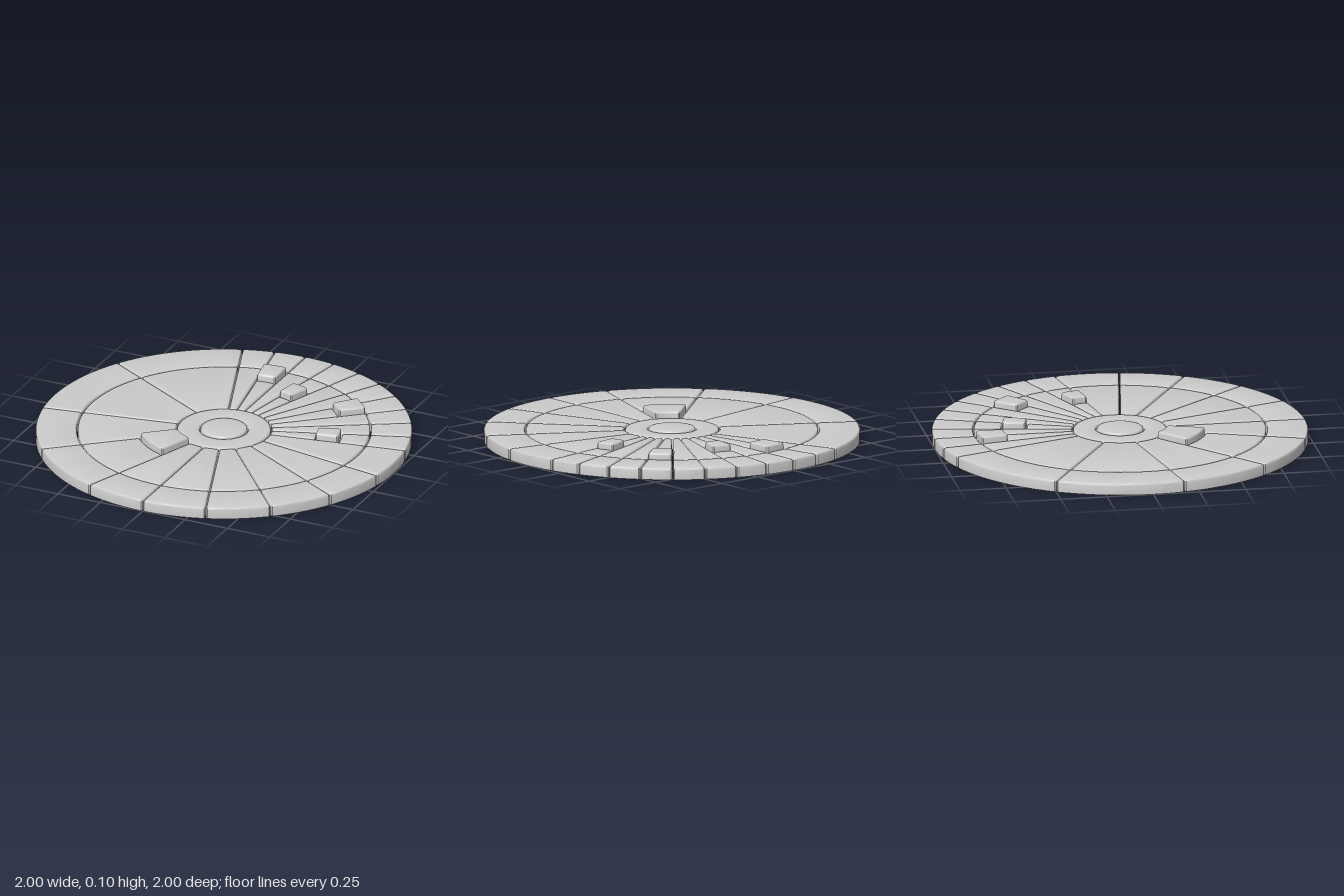
import * as THREE from 'three';
import { toCreasedNormals } from 'three/addons/utils/BufferGeometryUtils.js';

const H = 0.064, RAISED = 0.096, BEVEL = 0.012, GAP = 0.003, CORNER = 0.006;
const R_CAP = 0.127, R_HUB = 0.252, R_SEAM = 0.78, R_RIM = 1;
const material = new THREE.MeshStandardMaterial({ color: 0xcccccc, side: THREE.DoubleSide });

// Rounded top edge: [inset, height] pairs from the floor up
const edgeProfile = (h) => [
  [0, 0], [0, h - BEVEL], [BEVEL * 0.13, h - BEVEL * 0.5],
  [BEVEL * 0.5, h - BEVEL * 0.13], [BEVEL, h],
];

// One end of a sector outline: an arc with both corners clipped
function arcRow(r, edgeR, a0, a1, d, n) {
  const row = [[edgeR, a0 + Math.asin(d / edgeR)]];
  const off = Math.asin((d + CORNER) / r);
  for (let i = 0; i <= n; i++) row.push([r, a0 + off + (a1 - a0 - 2 * off) * i / n]);
  row.push([edgeR, a1 - Math.asin(d / edgeR)]);
  return row;
}

// Hollow ring-sector tile, open underneath, with parallel gaps to its neighbours
function sectorGeometry(r0, r1, deg0, deg1, h) {
  const a0 = THREE.MathUtils.degToRad(deg0), a1 = THREE.MathUtils.degToRad(deg1);
  const n = Math.ceil((deg1 - deg0) / 2.5), half = n + 3, count = half * 2;
  const pos = [], idx = [];
  const profile = edgeProfile(h);
  for (const [inset, y] of profile) {
    const d = GAP + inset;
    const outer = arcRow(r1 - d, r1 - d - CORNER, a0, a1, d, n);
    const inner = arcRow(r0 + d, r0 + d + CORNER, a0, a1, d, n).reverse();
    for (const [r, a] of [...outer, ...inner]) pos.push(r * Math.cos(a), y, -r * Math.sin(a));
  }
  // walls and bevel
  for (let k = 0; k < profile.length - 1; k++) {
    for (let i = 0; i < count; i++) {
      const j = (i + 1) % count, b = k * count, t = b + count;
      idx.push(b + i, b + j, t + j, b + i, t + j, t + i);
    }
  }
  // top face, bridging outer and inner arcs
  const top = (profile.length - 1) * count;
  for (let i = 0; i < half - 1; i++) {
    const o0 = top + i, o1 = o0 + 1, i0 = top + count - 1 - i, i1 = i0 - 1;
    idx.push(o0, o1, i1, o0, i1, i0);
  }
  const geo = new THREE.BufferGeometry();
  geo.setAttribute('position', new THREE.Float32BufferAttribute(pos, 3));
  geo.setIndex(idx);
  return toCreasedNormals(geo, 0.65);
}

function addMesh(group, name, geometry) {
  const mesh = new THREE.Mesh(geometry, material);
  mesh.name = name;
  group.add(mesh);
}

export function createModel() {
  const model = new THREE.Group();
  model.name = 'segmentedDisc';

  // Spoke angles, counter-clockwise from +x as seen from above
  const spokes = [10, 20, 30, 40, 50, 60, 70, 80, 90, 100, 110,
    150, 190, 220, 250, 270, 290, 310, 330, 350, 370];
  // Raised blocks by starting spoke: inner and outer radius
  const raised = {
    10: [0.5, 0.63], 40: [0.63, R_SEAM], 70: [0.5, 0.63],
    90: [0.63, R_SEAM], 220: [R_HUB, 0.46],
  };

  const rim = new THREE.Group(), sectors = new THREE.Group(), blocks = new THREE.Group();
  rim.name = 'outerRing';
  sectors.name = 'innerSectors';
  blocks.name = 'raisedBlocks';
  model.add(rim, sectors, blocks);

  for (let i = 0; i < spokes.length - 1; i++) {
    const a = spokes[i], b = spokes[i + 1];
    addMesh(rim, 'rimTile', sectorGeometry(R_SEAM, R_RIM + GAP, a, b, H));
    const [b0, b1] = raised[a] ?? [R_SEAM, R_SEAM];
    if (b0 > R_HUB) addMesh(sectors, 'sectorTile', sectorGeometry(R_HUB, b0, a, b, H));
    if (b1 > b0) addMesh(blocks, 'raisedBlock', sectorGeometry(b0, b1, a, b, RAISED));
    if (b1 < R_SEAM) addMesh(sectors, 'sectorTile', sectorGeometry(b1, R_SEAM, a, b, H));
  }

  // Hub ring and centre cap, also hollow underneath
  const lathe = (points) => toCreasedNormals(
    new THREE.LatheGeometry(points.map(([r, y]) => new THREE.Vector2(r, y)), 96), 0.65);
  const outerEdge = edgeProfile(H).map(([d, y]) => [R_HUB - GAP - d, y]);
  const innerEdge = edgeProfile(H).map(([d, y]) => [R_CAP + GAP + d, y]).reverse();
  addMesh(model, 'hubRing', lathe([...outerEdge, ...innerEdge]));
  const capEdge = edgeProfile(H + 0.006).map(([d, y]) => [R_CAP - GAP - d, y]);
  addMesh(model, 'centreCap', lathe([...capEdge, [0, H + 0.006]]));

  return model;
}
